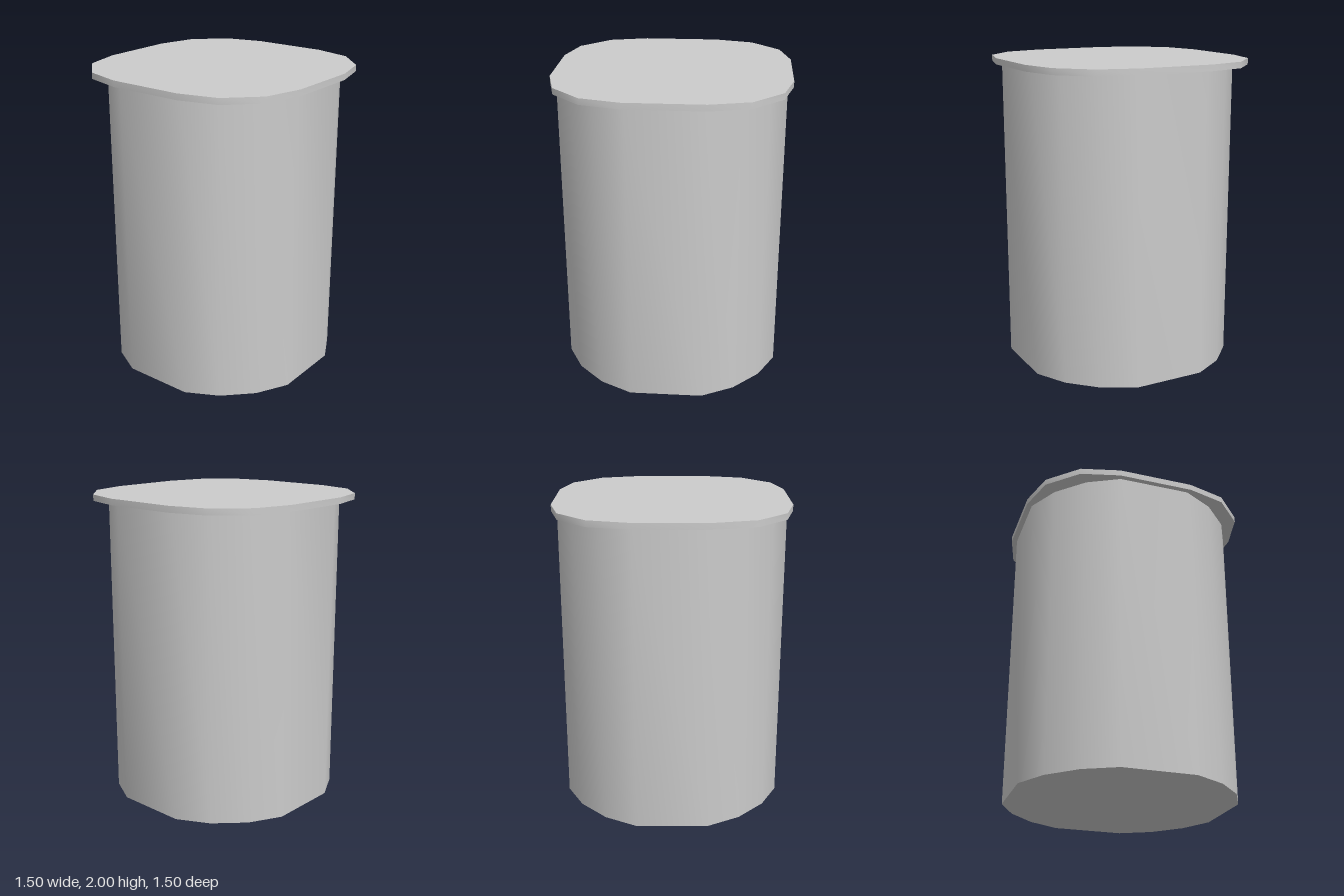
import * as THREE from 'three';
import { toCreasedNormals } from 'three/addons/utils/BufferGeometryUtils.js';

// Four-fold symmetric outline: one side's four points, turned around the axis
function outline(side) {
  const points = [];
  for (let k = 0; k < 4; k++) {
    for (const [x, y] of side) {
      points.push(new THREE.Vector2(x, y).rotateAround(new THREE.Vector2(), k * Math.PI / 2));
    }
  }
  return new THREE.Shape(points);
}

// Upright prism from y0 to y1, smooth around the sides with sharp rims
function prism(name, side, y0, y1) {
  const geometry = new THREE.ExtrudeGeometry(outline(side), { depth: y1 - y0, bevelEnabled: false });
  geometry.rotateX(-Math.PI / 2).translate(0, y0, 0);
  const mesh = new THREE.Mesh(
    toCreasedNormals(geometry, THREE.MathUtils.degToRad(42)),
    new THREE.MeshStandardMaterial({ color: 0xcccccc })
  );
  mesh.name = name;
  return mesh;
}

export function createModel() {
  const group = new THREE.Group();
  group.name = 'liddedContainer';

  // Rounded body, flat on its four sides
  group.add(prism('body', [[0.713, -0.233], [0.713, 0.233], [0.606, 0.437], [0.437, 0.606]], 0, 1.96));

  // Thin overhanging lid with squarer corners
  group.add(prism('lid', [[0.748, -0.246], [0.748, 0.246], [0.683, 0.497], [0.497, 0.683]], 1.96, 2));

  return group;
}
